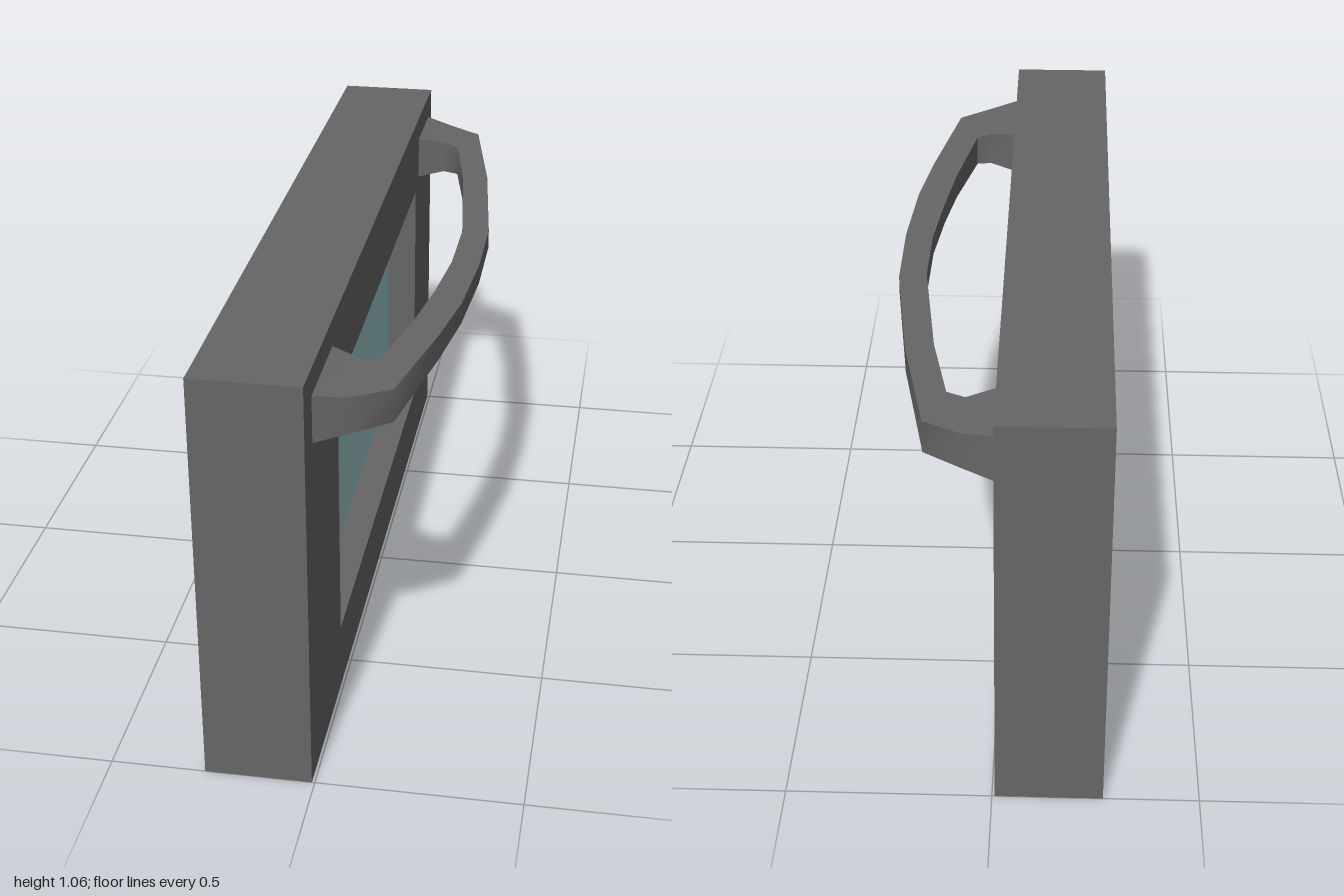
import * as THREE from 'three';
import { toCreasedNormals } from 'three/addons/utils/BufferGeometryUtils.js';

const rect = (PathType, z0, z1, y0, y1) => new PathType([
  new THREE.Vector2(z0, y0), new THREE.Vector2(z1, y0),
  new THREE.Vector2(z1, y1), new THREE.Vector2(z0, y1),
]);

// Stations along the bar: outer x, outer z, inner x, inner z, half height
const STATIONS = [
  [-0.01, -0.94, -0.01, -0.735, 0.059],
  [0.065, -0.91, 0.065, -0.76, 0.046],
  [0.157, -0.855, 0.11, -0.73, 0.041],
  [0.22, -0.526, 0.153, -0.505, 0.032],
  [0.265, -0.155, 0.196, -0.14, 0.026],
  [0.266, 0.08, 0.194, 0.07, 0.026],
  [0.25, 0.32, 0.175, 0.26, 0.027],
  [0.22, 0.515, 0.152, 0.43, 0.032],
  [0.16, 0.82, 0.105, 0.675, 0.041],
  [0.065, 0.885, 0.065, 0.692, 0.046],
  [-0.01, 0.915, -0.01, 0.663, 0.059],
];

// Rectangular cross-sections joined into a bowed, tapering bar
function handleGeometry() {
  const midY = 0.938, positions = [], index = [];
  for (const [ox, oz, ix, iz, h] of STATIONS) {
    positions.push(ox, midY - h, oz, ox, midY + h, oz, ix, midY + h, iz, ix, midY - h, iz);
  }
  const last = (STATIONS.length - 1) * 4;
  for (let s = 0; s < last; s += 4) {
    for (let j = 0; j < 4; j++) {
      const a = s + j, b = s + (j + 1) % 4;
      index.push(a, b, a + 4, b, b + 4, a + 4);
    }
  }
  // End caps
  index.push(0, 2, 1, 0, 3, 2, last, last + 1, last + 2, last, last + 2, last + 3);
  const geometry = new THREE.BufferGeometry();
  geometry.setAttribute('position', new THREE.Float32BufferAttribute(positions, 3));
  geometry.setIndex(index);
  return toCreasedNormals(geometry, 0.96);
}

export function createModel() {
  const group = new THREE.Group();
  group.name = 'ovenDoor';
  const darkGrey = new THREE.MeshStandardMaterial({ name: 'darkGrey', color: 0x666666 });
  const paleTeal = new THREE.MeshStandardMaterial({ name: 'paleTeal', color: 0x9bc2c2 });

  const add = (name, geometry, material) => {
    const mesh = new THREE.Mesh(geometry, material);
    mesh.name = name;
    group.add(mesh);
    return mesh;
  };

  // Door slab with the window opening cut through
  const outline = rect(THREE.Shape, -1, 1, 0, 1.062);
  outline.holes.push(rect(THREE.Path, -0.68, 0.605, 0.174, 0.852));
  const frame = add('doorFrame',
    new THREE.ExtrudeGeometry(outline, { depth: 0.261, bevelEnabled: false }), darkGrey);
  frame.rotation.y = -Math.PI / 2;
  frame.position.x = -0.007;

  // Window pane, recessed on both sides
  const glass = add('windowGlass', new THREE.BoxGeometry(0.1, 0.678, 1.285), paleTeal);
  glass.position.set(-0.138, 0.513, -0.0375);

  add('handle', handleGeometry(), darkGrey);
  return group;
}
